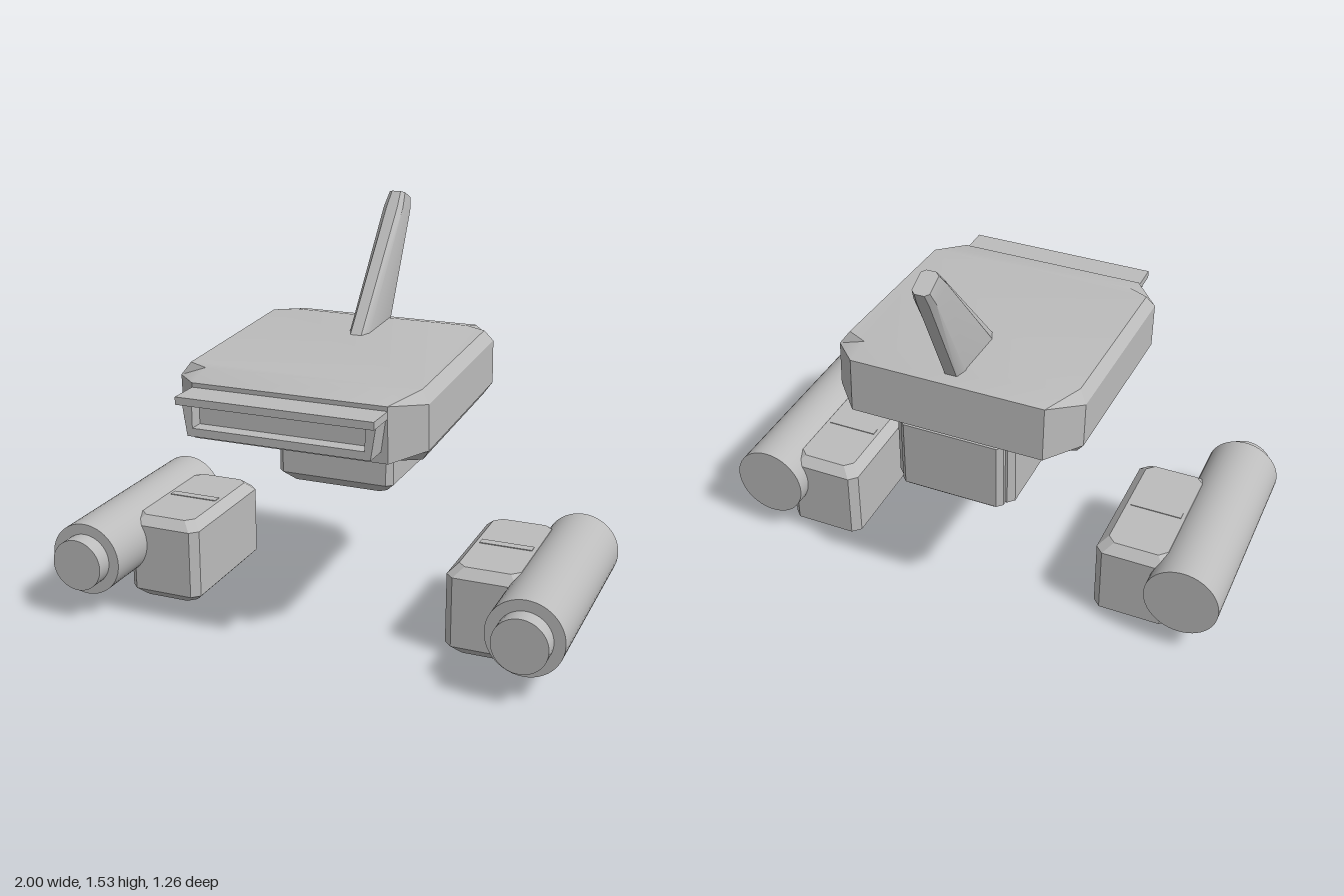
import * as THREE from 'three';
import { toCreasedNormals } from 'three/addons/utils/BufferGeometryUtils.js';

const shell = new THREE.MeshStandardMaterial({ color: 0xbcbcbc });
shell.name = 'light grey shell';

function part(name, geometry, x = 0, y = 0, z = 0) {
  const mesh = new THREE.Mesh(geometry, shell);
  mesh.name = name;
  mesh.position.set(x, y, z);
  return mesh;
}

// Rectangle with cut corners, as [x, z] pairs, counter-clockwise from above
function octagon(hx, hz, cx, cz) {
  const x = hx - cx, z = hz - cz;
  return [[hx, z], [hx, -z], [x, -hz], [-x, -hz], [-hx, -z], [-hx, z], [-x, hz], [x, hz]];
}

// Closed skin through rings of [x, y, z] points, from bottom to top
function loft(rings) {
  const n = rings[0].length, index = [];
  for (let r = 0; r < rings.length - 1; r++) {
    for (let i = 0; i < n; i++) {
      const j = (i + 1) % n, a = r * n + i, b = r * n + j;
      index.push(a, b, b + n, a, b + n, a + n);
    }
  }
  const top = (rings.length - 1) * n;
  for (let i = 1; i < n - 1; i++) {
    index.push(0, i + 1, i, top, top + i, top + i + 1);
  }
  const geometry = new THREE.BufferGeometry();
  geometry.setAttribute('position', new THREE.Float32BufferAttribute(rings.flat(2), 3));
  geometry.setIndex(index);
  return toCreasedNormals(geometry, 0.5);
}

// Box with cut vertical corners and bevelled top and bottom, centred
function bevelBox(w, h, d, corner, bevel) {
  const ring = (y, inset) => octagon(w / 2 - inset, d / 2 - inset, corner, corner)
    .map(([x, z]) => [x, y, z]);
  return loft([ring(-h / 2, bevel), ring(-h / 2 + bevel, 0), ring(h / 2 - bevel, 0), ring(h / 2, bevel)]);
}

// Wide flat head; the bevel is long and shallow at front and back
function headGeometry() {
  const rim = (sign) => octagon(0.47, 0.487, 0.105, 0.115)
    .map(([x, z]) => [x, sign * (Math.abs(z) > 0.4 ? 0.103 : 0.084), z]);
  const cap = (sign) => octagon(0.44, 0.39, 0.08, 0.04)
    .map(([x, z]) => [x, sign * 0.128, z]);
  return loft([cap(-1), rim(-1), rim(1), cap(1)]);
}

// Swept fin: each ring runs from a rear to a front point in the side plane
function finGeometry() {
  const ring = (w, zRear, yRear, zFront, yFront) => octagon(w, 0.5, w * 0.45, 0.13)
    .map(([x, s]) => [x, THREE.MathUtils.lerp(yRear, yFront, s + 0.5),
      THREE.MathUtils.lerp(zRear, zFront, s + 0.5)]);
  return loft([
    ring(0.04, -0.387, 0.98, -0.057, 0.98),
    ring(0.04, -0.607, 1.442, -0.493, 1.476),
    ring(0.032, -0.63, 1.49, -0.54, 1.53),
  ]);
}

// Open face surround
function frameGeometry() {
  const shape = new THREE.Shape([[-0.34, 0.825], [0.34, 0.825], [0.36, 0.955], [-0.36, 0.955]]
    .map(([x, y]) => new THREE.Vector2(x, y)));
  shape.holes.push(new THREE.Path([[-0.32, 0.855], [-0.32, 0.944], [0.32, 0.944], [0.32, 0.855]]
    .map(([x, y]) => new THREE.Vector2(x, y))));
  return new THREE.ExtrudeGeometry(shape, { depth: 0.135, bevelEnabled: false });
}

function tube(radius, length) {
  return new THREE.CylinderGeometry(radius, radius, length, 48).rotateX(Math.PI / 2);
}

export function createModel() {
  const model = new THREE.Group();
  model.name = 'floatingRobot';

  // Head, tipped slightly forward
  const head = part('head', headGeometry(), 0, 0.912, 0.015);
  head.rotation.x = 0.052;
  model.add(head);

  // Visor with an overhanging brow
  const visor = new THREE.Group();
  visor.name = 'visor';
  visor.add(
    part('visorFrame', frameGeometry(), 0, 0, 0.46),
    part('visorScreen', new THREE.BoxGeometry(0.66, 0.1, 0.07), 0, 0.9, 0.505),
    part('visorBrow', new THREE.BoxGeometry(0.73, 0.028, 0.17), 0, 0.959, 0.545),
  );
  model.add(visor);

  model.add(part('fin', finGeometry()));

  // Body and its back panel
  model.add(part('body', bevelBox(0.46, 0.38, 0.51, 0.022, 0.038), 0, 0.695, -0.155));
  model.add(part('backPanel', bevelBox(0.4, 0.29, 0.08, 0.02, 0.015), 0, 0.67, -0.405));

  // Separate hands, each with a barrel on the outer side
  for (const side of [1, -1]) {
    const hand = new THREE.Group();
    hand.name = side > 0 ? 'leftHand' : 'rightHand';
    hand.add(
      part('handBlock', bevelBox(0.3, 0.34, 0.555, 0.03, 0.035), side * 0.65, 0.17, 0),
      part('topRidge', new THREE.BoxGeometry(0.2, 0.006, 0.035), side * 0.65, 0.34, 0),
      part('sidePanel', new THREE.BoxGeometry(0.02, 0.2, 0.36), side * 0.8, 0.17, 0),
      part('barrel', tube(0.142, 0.825), side * 0.857, 0.23, 0.0775),
      part('muzzle', tube(0.101, 0.1), side * 0.857, 0.23, 0.505),
    );
    model.add(hand);
  }
  return model;
}
